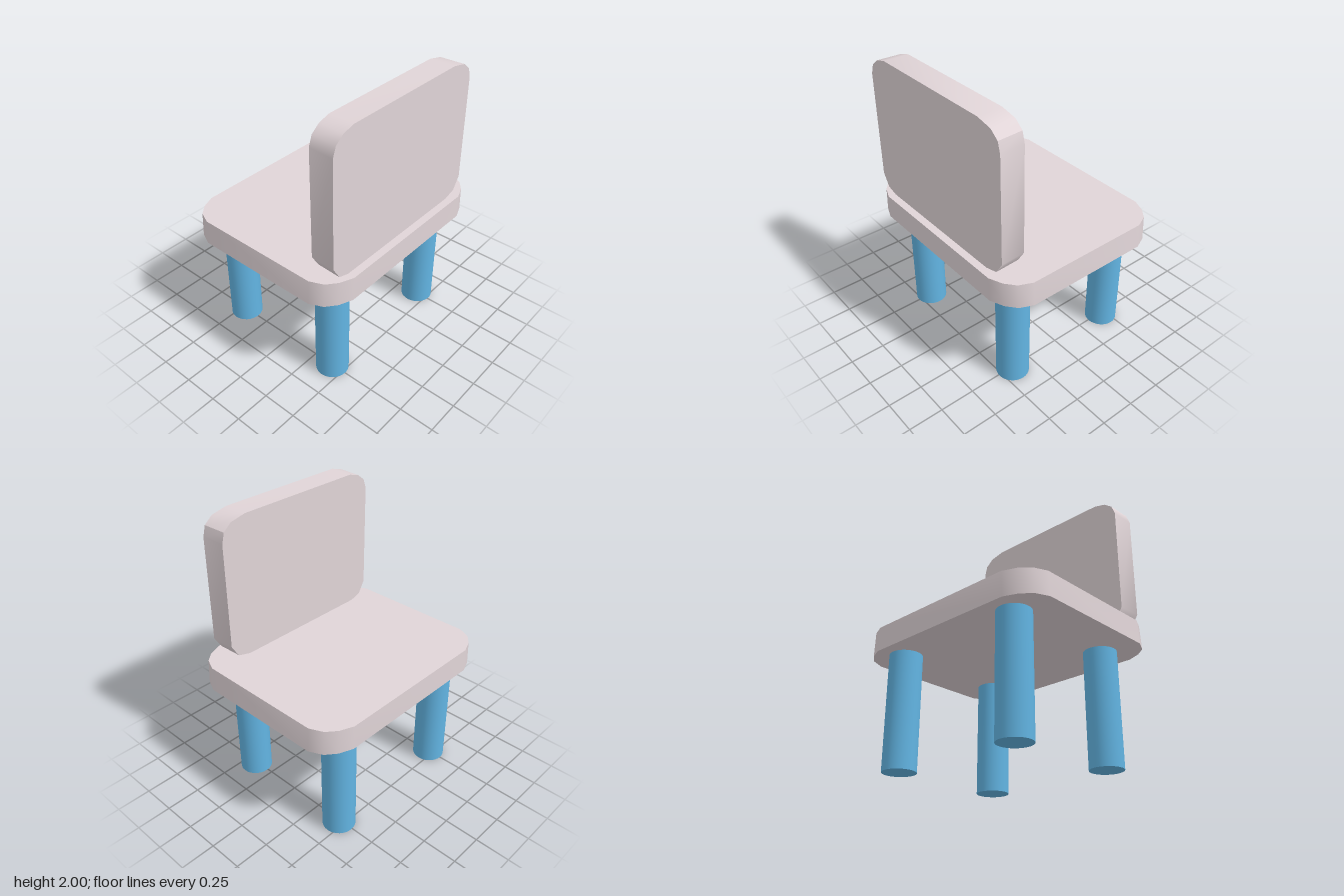
import * as THREE from 'three';
import { toCreasedNormals } from 'three/addons/utils/BufferGeometryUtils.js';

const cushionMaterial = new THREE.MeshStandardMaterial({ color: 0xe0d4d7 });
const legMaterial = new THREE.MeshStandardMaterial({ color: 0x62b4e2 });

// Slab extruded from an outline; smooth rim, sharp face edges.
// The outline's height (or width) is scaled from 1 to endScale along the depth.
function slab(points, depth, center, endScale, axis) {
  const shape = new THREE.Shape(points.map(([a, b]) => new THREE.Vector2(a, b)));
  const geometry = new THREE.ExtrudeGeometry(shape, { depth, bevelEnabled: false });
  const p = geometry.attributes.position;
  for (let i = 0; i < p.count; i++) {
    const s = 1 + (endScale - 1) * p.getZ(i) / depth;
    const v = p.getComponent(i, axis);
    p.setComponent(i, axis, center + (v - center) * s);
  }
  return toCreasedNormals(geometry, 0.6);
}

export function createModel() {
  const group = new THREE.Group();

  // Seat: rounded rectangle, slightly narrower at the top
  const corner = [[0.648, 0.58], [0.61, 0.675], [0.553, 0.745], [0.46, 0.787]];
  const flipped = [...corner].reverse();
  const seatOutline = [
    ...corner,
    ...flipped.map(([x, z]) => [-x, z]),
    ...corner.map(([x, z]) => [-x, -z]),
    ...flipped.map(([x, z]) => [x, -z]),
  ];
  const seatGeometry = slab(seatOutline, 0.173, 0, 0.987, 1);
  seatGeometry.rotateX(-Math.PI / 2);
  const seat = new THREE.Mesh(seatGeometry, cushionMaterial);
  seat.name = 'seat';
  seat.position.y = 0.812;
  group.add(seat);

  // Backrest: upright slab along one side, outline given as (-z, y)
  const backOutline = [
    [-0.56, 0.985], [0.48, 0.985], [0.575, 1.012], [0.63, 1.1],
    [0.625, 1.85], [0.605, 1.925], [0.545, 1.975], [0.43, 2],
    [-0.53, 2], [-0.615, 1.977], [-0.675, 1.93], [-0.7, 1.86],
    [-0.696, 1.1], [-0.642, 1.01],
  ];
  const backGeometry = slab(backOutline, 0.178, -0.035, 1.012, 0);
  backGeometry.rotateY(Math.PI / 2);
  const backrest = new THREE.Mesh(backGeometry, cushionMaterial);
  backrest.name = 'backrest';
  backrest.position.x = 0.417;
  group.add(backrest);

  // Four round legs
  const legGeometry = new THREE.CylinderGeometry(0.115, 0.115, 0.815, 32);
  for (const [x, side] of [[-0.457, 'right'], [0.407, 'left']]) {
    for (const [z, end] of [[0.5, 'Front'], [-0.51, 'Back']]) {
      const leg = new THREE.Mesh(legGeometry, legMaterial);
      leg.name = `${side}${end}Leg`;
      leg.position.set(x, 0.4075, z);
      group.add(leg);
    }
  }
  return group;
}
